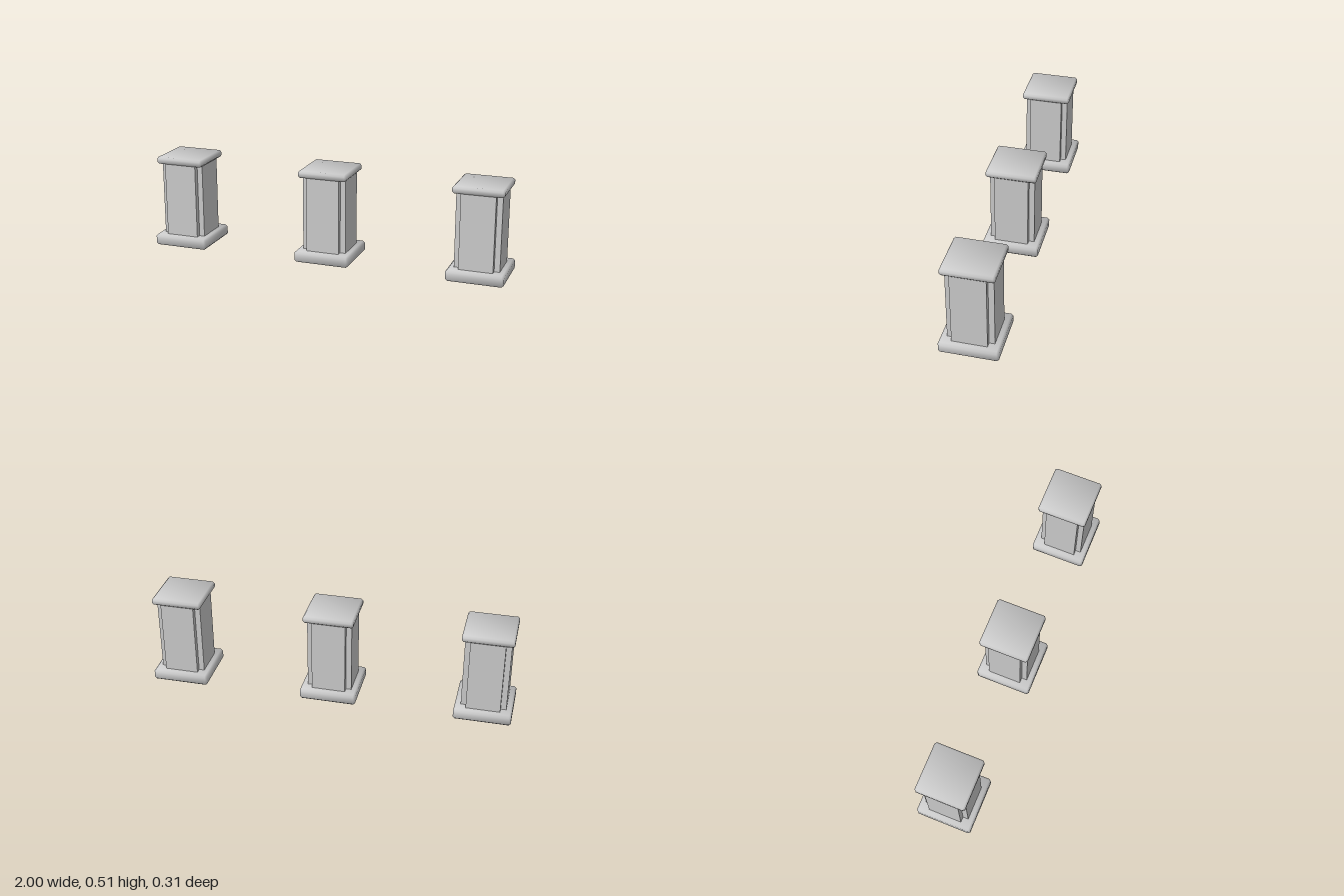
import * as THREE from 'three';
import { ConvexGeometry } from 'three/addons/geometries/ConvexGeometry.js';

const material = new THREE.MeshStandardMaterial({ color: 0xcccccc });

// Square slab with one chamfer on every edge and soft, averaged normals
function chamferedSlab(half, y0, y1, c) {
  const size = [half, (y1 - y0) / 2, half];
  const points = [];
  for (let axis = 0; axis < 3; axis++)
    for (const sx of [-1, 1]) for (const sy of [-1, 1]) for (const sz of [-1, 1]) {
      const p = [sx, sy, sz].map((s, i) => s * (size[i] - (i === axis ? 0 : c)));
      points.push(new THREE.Vector3(...p));
    }
  const geometry = new ConvexGeometry(points);
  const pos = geometry.attributes.position;
  const n = new THREE.Vector3();
  for (let i = 0; i < pos.count; i++) {
    // Each corner leans towards its flat face and away from the chamfers beside it
    const p = [pos.getX(i), pos.getY(i), pos.getZ(i)];
    n.set(...p.map((v, k) => Math.sign(v) * (Math.abs(v) > size[k] - c / 2 ? 3 : 1.28))).normalize();
    geometry.attributes.normal.setXYZ(i, n.x, n.y, n.z);
  }
  return geometry.translate(0, (y0 + y1) / 2, 0);
}

// Square shaft with a square notch cut from each corner
function notchedShaft(outer, inner, y0, y1) {
  const outline = [];
  for (let k = 0; k < 4; k++)
    for (const [x, y] of [[outer, -inner], [outer, inner], [inner, inner]])
      outline.push(new THREE.Vector2(x, y).rotateAround(new THREE.Vector2(), k * Math.PI / 2));
  return new THREE.ExtrudeGeometry(new THREE.Shape(outline), { depth: y1 - y0, bevelEnabled: false })
    .rotateX(-Math.PI / 2).translate(0, y0, 0);
}

export function createModel() {
  const model = new THREE.Group();
  model.name = 'pillarRow';
  const parts = {
    base: chamferedSlab(0.155, 0, 0.062, 0.011),
    shaft: notchedShaft(0.122, 0.092, 0.06, 0.475),
    cap: chamferedSlab(0.137, 0.473, 0.512, 0.01),
  };

  // Three identical pillars in a line
  [['rightPillar', -0.845], ['middlePillar', 0], ['leftPillar', 0.845]].forEach(([name, x]) => {
    const pillar = new THREE.Group();
    pillar.name = name;
    pillar.position.x = x;
    for (const [part, geometry] of Object.entries(parts)) {
      const mesh = new THREE.Mesh(geometry, material);
      mesh.name = part;
      pillar.add(mesh);
    }
    model.add(pillar);
  });
  return model;
}
